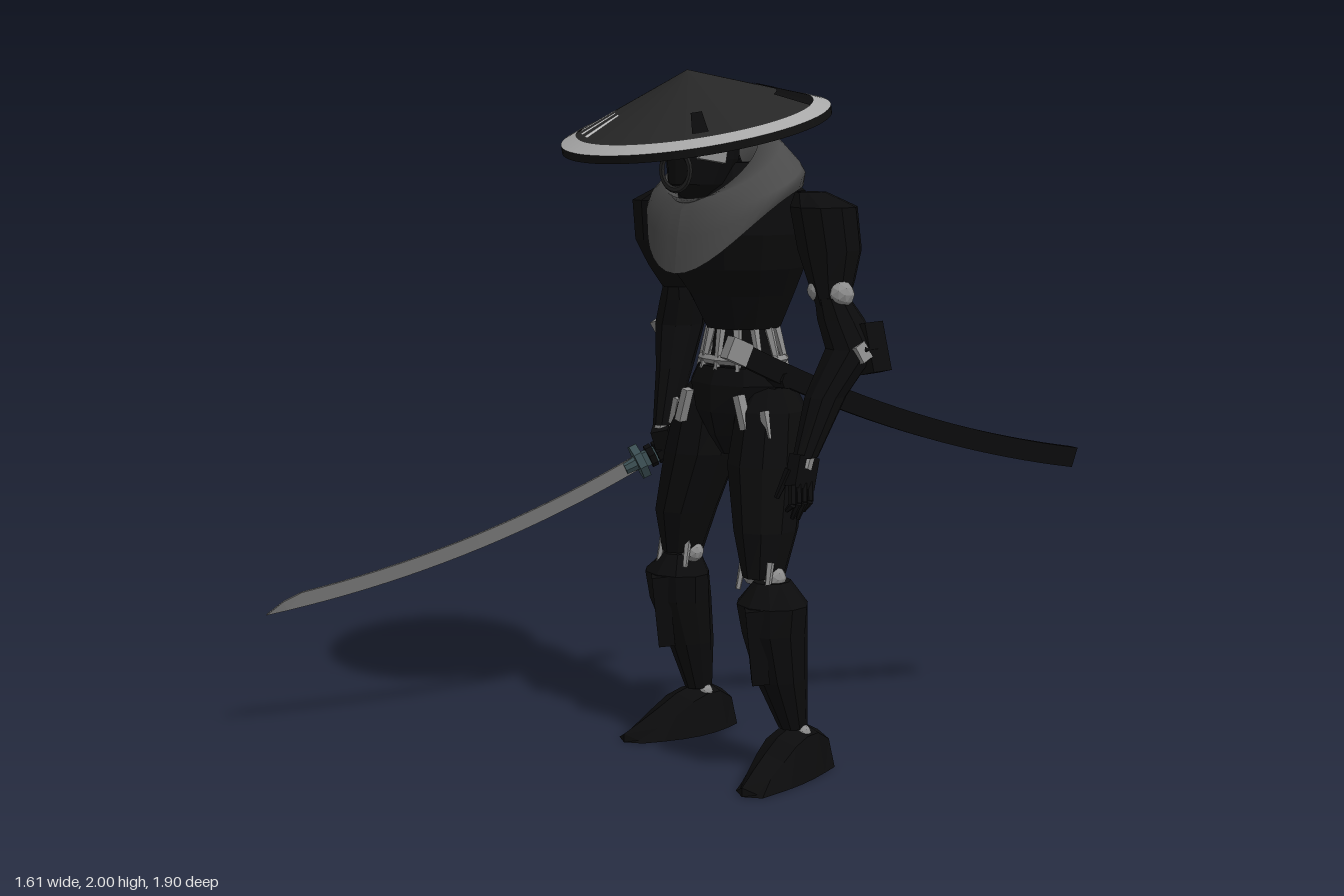
import * as THREE from 'three';

const mat = (color, flat = true) => new THREE.MeshStandardMaterial({ color, flatShading: flat, side: THREE.DoubleSide });
const BLACK = mat(0x0b0b0c), METAL = mat(0x8c8c8c), CLOTH = mat(0x4a4a4a, false), HAT = mat(0x262626, false);
const RIM = mat(0xa8a8a8, false), WHITE = mat(0xffffff), GRIP = mat(0x3c5054), STEEL = mat(0x777777), UNDER = mat(0x111111, false);
const V = (a) => new THREE.Vector3(...a);

export function createModel() {
  const root = new THREE.Group();
  const add = (name, geo, material, parent = root) => {
    const m = new THREE.Mesh(geo, material);
    m.name = name;
    parent.add(m);
    return m;
  };

  // Loft through horizontal rings [x, y, z, rx, rz], listed from top to bottom
  const loft = (name, rings, material = BLACK, sides = 10) => {
    const g = new THREE.CylinderGeometry(1, 1, 1, sides, rings.length - 1);
    const p = g.attributes.position;
    for (let i = 0; i < p.count; i++) {
      const r = rings[Math.round((0.5 - p.getY(i)) * (rings.length - 1))];
      p.setXYZ(i, r[0] + p.getX(i) * r[3], r[1], r[2] + p.getZ(i) * r[4]);
    }
    g.computeVertexNormals();
    return add(name, g, material);
  };

  // Straight tapered rod between two points
  const rod = (name, a, b, r0, r1, material = BLACK, sides = 7) => {
    const d = V(b).sub(V(a));
    const m = add(name, new THREE.CylinderGeometry(r1, r0, d.length(), sides), material);
    m.position.copy(V(a)).addScaledVector(d, 0.5);
    m.quaternion.setFromUnitVectors(new THREE.Vector3(0, 1, 0), d.normalize());
    return m;
  };

  // Curved bar between two points: tall in its vertical plane, sagging in the middle
  const bar = (name, a, b, sag, h, t, material, tip = 0) => {
    const X = V(b).sub(V(a)), len = X.length();
    X.normalize();
    const Z = X.clone().cross(new THREE.Vector3(0, 1, 0)).normalize(), Y = Z.clone().cross(X);
    const g = new THREE.BoxGeometry(len, h, t, 20, 1, 1), p = g.attributes.position;
    for (let i = 0; i < p.count; i++) {
      const u = p.getX(i) / len + 0.5;
      const k = tip ? Math.min(1, (1 - u) / tip + 0.05) : 1;
      const top = p.getY(i) > 0;
      p.setY(i, (top ? h * (k - 0.5) : -h / 2) - sag * 4 * u * (1 - u));
      if (tip && !top) p.setZ(i, p.getZ(i) * 0.2);
    }
    g.computeVertexNormals();
    const m = add(name, g, material);
    m.quaternion.setFromRotationMatrix(new THREE.Matrix4().makeBasis(X, Y, Z));
    m.position.copy(V(a)).add(V(b)).multiplyScalar(0.5);
    return m;
  };

  const ball = (name, at, r, material = METAL) => {
    const m = add(name, new THREE.IcosahedronGeometry(r, 1), material);
    m.position.set(...at);
    return m;
  };
  const box = (name, at, size, rot = [0, 0, 0], material = BLACK) => {
    const m = add(name, new THREE.BoxGeometry(...size), material);
    m.position.set(...at);
    m.rotation.set(...rot);
    return m;
  };

  // Conical straw hat, tipped forward
  const hat = new THREE.Group();
  hat.name = 'hat';
  hat.position.set(0.21, 1.847, 0.143);
  hat.rotation.x = 0.22;
  root.add(hat);
  const coneY = (r) => 0.157 * (1 - r / 0.387);
  const band = (name, r0, r1, lift, material, phi = 0, len = Math.PI * 2) => add(name,
    new THREE.LatheGeometry([r1, r0].map((r) => new THREE.Vector2(r, coneY(r) + lift)),
      Math.max(3, Math.ceil(len * 12)), phi - (len < 6 ? len / 2 : 0), len), material, hat);
  band('hatCrown', 0, 0.345, 0, HAT);
  band('hatRim', 0.34, 0.387, 0.003, RIM);
  band('hatUnderside', 0, 0.387, -0.02, UNDER);
  add('hatEdge', new THREE.CylinderGeometry(0.387, 0.387, 0.023, 72, 1, true), UNDER, hat).position.y = -0.0085;
  for (const a of [-0.87, -0.68, -0.49]) band('hatSlit', 0.22, 0.325, 0.003, WHITE, a, 0.1);
  band('hatPatch', 0.24, 0.34, 0.003, BLACK, 2.3, 0.55);
  band('hatPatch', 0.19, 0.25, 0.003, BLACK, 2.55, 0.3);
  band('hatPatch', 0.22, 0.32, 0.003, BLACK, 0.8, 0.14);

  // Head, neck and jaw plates
  loft('head', [[0.225, 1.9, 0.11, 0.06, 0.07], [0.225, 1.84, 0.12, 0.1, 0.11], [0.225, 1.75, 0.13, 0.1, 0.11],
    [0.225, 1.68, 0.15, 0.08, 0.09], [0.225, 1.64, 0.15, 0.04, 0.05]], BLACK, 14);
  loft('neck', [[0.23, 1.76, 0.08, 0.07, 0.07], [0.24, 1.6, 0.03, 0.09, 0.08]]);
  for (const s of [-1, 1]) box('jawPlate', [0.225 + s * 0.088, 1.79, 0.18], [0.025, 0.09, 0.08], [-0.2, -s * 0.5, 0], METAL);
  const visor = add('visor', new THREE.TorusGeometry(0.055, 0.01, 6, 20), METAL);
  visor.scale.z = 0.6;
  visor.material = mat(0x222222);
  visor.position.set(0.225, 1.72, 0.24);

  // Draped scarf: rings swept from inner collar over the shoulders to a pointed front hem
  const scarfRows = [
    [0.1, 0.09, 0.1, 1.74, -0.14, 1], [0.12, 0.09, 0.13, 1.83, -0.2, 1], [0.18, 0.06, 0.15, 1.83, -0.19, 1],
    [0.24, 0.045, 0.185, 1.765, -0.16, 1], [0.25, 0.045, 0.2, 1.72, -0.19, 2], [0.235, 0.045, 0.21, 1.675, -0.245, 3]];
  const sg = new THREE.CylinderGeometry(1, 1, 1, 40, scarfRows.length - 1, true), sp = sg.attributes.position;
  for (let i = 0; i < sp.count; i++) {
    const [rx, zc, rz, y, drop, pow] = scarfRows[Math.round((0.5 - sp.getY(i)) * (scarfRows.length - 1))];
    const f = (1 + sp.getZ(i)) / 2;
    sp.setXYZ(i, 0.235 + sp.getX(i) * rx, y + drop * f ** pow, zc + sp.getZ(i) * rz);
  }
  sg.computeVertexNormals();
  add('scarf', sg, CLOTH);

  // Torso, waist and pelvis
  loft('torso', [[0.24, 1.74, 0, 0.12, 0.1], [0.24, 1.66, 0, 0.22, 0.16], [0.24, 1.54, 0.01, 0.23, 0.2],
    [0.24, 1.44, 0.0, 0.205, 0.19], [0.24, 1.36, -0.02, 0.16, 0.15], [0.24, 1.26, -0.03, 0.11, 0.11]], BLACK, 12);
  loft('waist', [[0.24, 1.29, -0.03, 0.09, 0.09], [0.24, 1.2, -0.03, 0.095, 0.09], [0.24, 1.08, -0.03, 0.13, 0.11]]);
  for (let i = 0; i < 12; i++) {
    const a = (i / 12) * Math.PI * 2, s = Math.sin(a), c = Math.cos(a);
    rod('waistStrut', [0.24 + s * 0.1, 1.26, -0.03 + c * 0.095], [0.24 + s * 0.14, 1.14, -0.03 + c * 0.115], 0.014, 0.009, METAL, 5);
  }
  const belt = add('belt', new THREE.TorusGeometry(0.13, 0.014, 5, 16), METAL);
  belt.rotation.x = Math.PI / 2;
  belt.scale.y = 0.85;
  belt.position.set(0.24, 1.17, -0.03);
  loft('pelvis', [[0.24, 1.15, -0.03, 0.15, 0.12], [0.24, 1.1, -0.03, 0.175, 0.14], [0.24, 1.02, -0.03, 0.14, 0.14],
    [0.24, 0.95, -0.02, 0.08, 0.11], [0.24, 0.89, -0.01, 0.04, 0.06]]);
  for (const s of [-1, 1]) box('hipStrut', [0.24 + s * 0.115, 1.03, 0.1], [0.022, 0.1, 0.03], [0, 0, s * 0.3], METAL);

  // Arms: shoulder armour, upper arm, joints, forearm
  const arms = [
    { upper: [[-0.03, 1.66, -0.01, 0.04, 0.05], [-0.07, 1.62, -0.02, 0.095, 0.1], [-0.085, 1.5, -0.04, 0.09, 0.095],
      [-0.1, 1.42, -0.08, 0.065, 0.075], [-0.12, 1.35, -0.13, 0.045, 0.05]],
    fore: [[-0.12, 1.37, -0.14, 0.05, 0.05], [-0.13, 1.31, -0.16, 0.07, 0.07], [-0.15, 1.23, -0.17, 0.075, 0.08],
      [-0.125, 1.1, -0.12, 0.05, 0.065], [-0.11, 0.93, -0.06, 0.032, 0.04]], side: -1 },
    { upper: [[0.51, 1.66, -0.01, 0.04, 0.05], [0.55, 1.62, -0.02, 0.095, 0.1], [0.565, 1.5, -0.03, 0.09, 0.095],
      [0.58, 1.42, -0.02, 0.065, 0.075], [0.6, 1.35, 0, 0.045, 0.05]],
    fore: [[0.6, 1.37, 0, 0.05, 0.05], [0.615, 1.31, -0.02, 0.065, 0.07], [0.65, 1.23, -0.03, 0.075, 0.08],
      [0.63, 1.1, 0.06, 0.055, 0.065], [0.635, 0.94, 0.15, 0.032, 0.04]], side: 1 }];
  for (const { upper, fore, side } of arms) {
    loft('upperArm', upper);
    loft('forearm', fore);
    const [ex, ey, ez] = fore[0];
    ball('elbowJoint', [ex + side * 0.03, ey + 0.01, ez], 0.04);
    ball('elbowJoint', [ex - side * 0.03, ey + 0.02, ez + 0.02], 0.035);
    const [fx, fy, fz] = fore[2];
    box('elbowPlate', [fx + side * 0.045, fy, fz - 0.03], [0.05, 0.14, 0.08], [0, 0, side * 0.25]);
    box('elbowPin', [fx + side * 0.05, fy - 0.01, fz + 0.03], [0.04, 0.05, 0.04], [0.4, 0, 0.3], METAL);
    const [wx, wy, wz] = fore[4];
    rod('wrist', [wx, wy + 0.04, wz - 0.01], [wx, wy - 0.03, wz + 0.015], 0.028, 0.026, METAL);
  }

  // Relaxed left hand
  box('leftPalm', [0.635, 0.9, 0.165], [0.04, 0.09, 0.085], [-0.25, 0, 0]);
  for (let i = 0; i < 4; i++) {
    const z = 0.145 + i * 0.024, x = 0.645, k = [0.79, 0.77, 0.775, 0.8][i];
    rod('finger', [x, 0.87, z], [x + 0.012, 0.82, z + 0.012], 0.012, 0.011, BLACK, 6);
    rod('fingertip', [x + 0.012, 0.82, z + 0.012], [x - 0.01, k, z + 0.012], 0.011, 0.006, BLACK, 6);
  }
  rod('thumb', [0.62, 0.91, 0.2], [0.595, 0.83, 0.225], 0.014, 0.008, BLACK, 6);

  // Sword held in the right hand
  const guardAt = [-0.16, 0.815, 0], pommel = [0.055, 0.995, -0.31];
  bar('blade', guardAt, [-0.8, 0.41, 0.95], 0.05, 0.045, 0.014, STEEL, 0.08);
  bar('swordGrip', pommel, guardAt, 0.005, 0.045, 0.032, GRIP);
  const axis = V(guardAt).sub(V(pommel)).normalize();
  const at = (d) => V(guardAt).addScaledVector(axis, -d).toArray();
  rod('swordGuard', at(0.012), at(-0.012), 0.058, 0.058, GRIP, 8);
  rod('bladeCollar', at(-0.01), at(-0.05), 0.024, 0.02, GRIP, 8);
  rod('pommelCap', at(0.4), at(0.43), 0.024, 0.026, GRIP, 8);
  box('rightPalm', [-0.11, 0.885, -0.06], [0.055, 0.09, 0.08], [0.4, 0.6, 0]);
  for (let i = 0; i < 4; i++) rod('grippingFinger', at(0.03 + i * 0.026), at(0.05 + i * 0.026), 0.036, 0.036, BLACK, 8);

  // Scabbard on the left hip
  bar('scabbard', [0.375, 1.2, 0.12], [0.785, 0.825, -0.94], 0.045, 0.062, 0.036, BLACK);
  bar('scabbardMouth', [0.36, 1.225, 0.17], [0.378, 1.197, 0.11], 0, 0.066, 0.04, METAL);
  rod('scabbardMount', [0.3, 1.12, 0], [0.44, 1.12, 0], 0.03, 0.025);

  // Legs: thigh, knee, shin armour, ankle, foot
  const legs = [
    { side: -1, thigh: [[0.12, 1.1, -0.03, 0.05, 0.07], [0.11, 1.03, -0.03, 0.1, 0.11], [0.095, 0.88, -0.01, 0.115, 0.115],
      [0.05, 0.7, 0.01, 0.09, 0.1], [0.035, 0.57, 0.01, 0.055, 0.07]],
    shin: [[0.02, 0.56, 0, 0.05, 0.06], [0.01, 0.5, 0.01, 0.108, 0.09], [0.015, 0.42, 0, 0.095, 0.095],
      [0.03, 0.28, -0.03, 0.065, 0.075], [0.035, 0.13, -0.06, 0.038, 0.045]], foot: [0.035, -0.06], len: [-0.165, 0.215] },
    { side: 1, thigh: [[0.36, 1.1, -0.03, 0.05, 0.07], [0.37, 1.03, -0.01, 0.1, 0.11], [0.385, 0.88, 0.03, 0.115, 0.115],
      [0.43, 0.7, 0.08, 0.09, 0.1], [0.45, 0.57, 0.11, 0.055, 0.07]],
    shin: [[0.48, 0.56, 0.11, 0.05, 0.06], [0.495, 0.5, 0.125, 0.108, 0.1], [0.505, 0.42, 0.125, 0.09, 0.1],
      [0.515, 0.28, 0.105, 0.07, 0.08], [0.525, 0.13, 0.065, 0.04, 0.045]], foot: [0.53, 0.06], len: [-0.04, 0.345] }];
  for (const { side, thigh, shin, foot, len } of legs) {
    loft('thigh', thigh);
    loft('shin', shin);
    const [kx, ky, kz] = thigh[4];
    for (const s of [-1, 1]) {
      ball('kneeJoint', [kx + s * 0.04, ky, kz], 0.034);
      rod('kneeStrut', [kx + s * 0.05, ky + 0.05, kz + 0.03], [kx + s * 0.055, ky - 0.04, kz + 0.05], 0.012, 0.008, METAL, 5);
    }
    box('thighPin', [thigh[1][0] + side * 0.06, 1.0, thigh[1][2] + 0.09], [0.02, 0.08, 0.02], [0, 0, side * 0.25], METAL);
    const [sx, sy, sz] = shin[2];
    box('shinRidge', [sx, sy - 0.03, sz + 0.075], [0.05, 0.22, 0.05], [0.14, Math.PI / 4, 0]);
    const [ax, az] = foot;
    for (const s of [-1, 1]) ball('ankleJoint', [ax + s * 0.03, 0.12, az], 0.022);
    // Foot: wedge that is high at the ankle, widens and flattens to a toe turned outward
    const g = new THREE.BoxGeometry(1, 1, 1, 2, 1, 6), p = g.attributes.position;
    for (let i = 0; i < p.count; i++) {
      const u = p.getZ(i) + 0.5, top = p.getY(i) > 0, x = p.getX(i);
      const h = u < 0.4 ? 0.1 + 0.04 * Math.sin(u * 6) : 0.14 - (u - 0.4) * 0.19;
      const w = 0.13 + 0.06 * Math.sin(u * Math.PI) - 0.03 * u;
      p.setXYZ(i, ax + x * w * (top ? 0.65 : 1) + side * 0.05 * u * u, top ? h - Math.abs(x) * 0.04 : 0,
        len[0] + (len[1] - len[0]) * u - Math.abs(x) * 0.06 * u);
    }
    g.computeVertexNormals();
    add('foot', g, BLACK);
  }
  return root;
}
